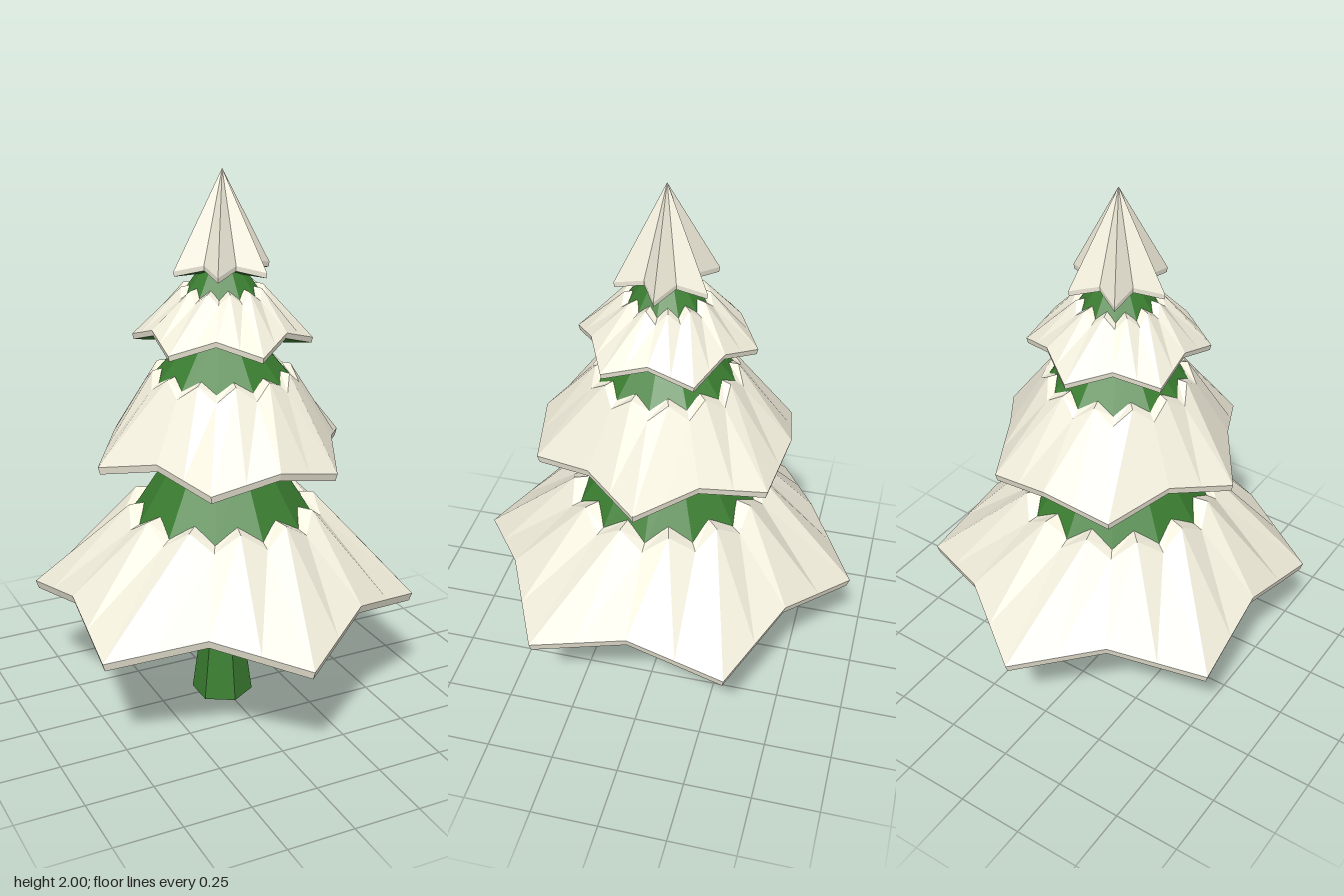
import * as THREE from 'three';

const N = 24;
const snowMat = new THREE.MeshStandardMaterial({ color: 0xf2eedc, flatShading: true });
const greenMat = new THREE.MeshStandardMaterial({ color: 0x3a7d30, flatShading: true });

// Point on a circle, step i of n, starting at +z and turning towards +x
function polar(i, r, y, n = N) {
  const a = (i / n) * Math.PI * 2;
  return new THREE.Vector3(Math.sin(a) * r, y, Math.cos(a) * r);
}

const ringOf = (fn) => Array.from({ length: N }, (_, i) => fn(i));

// Twelve-cornered star edge; midpoints are added so that it has N points
function starRing(odd, tip, valley) {
  const corner = (k) => {
    k = (k + 12) % 12;
    const isTip = k % 2 === (odd ? 1 : 0);
    const r = isTip ? tip[0] : (odd && k % 6 === 0 && valley[2]) || valley[0];
    return polar(k, r, isTip ? tip[1] : valley[1], 12);
  };
  return ringOf((i) => (i % 2 ? corner((i - 1) / 2).lerp(corner((i + 1) / 2), 0.5) : corner(i / 2)));
}

// Collar edge: notch on even steps, peak on odd steps
const zigzag = (notch, peak) => ringOf((i) => polar(i, ...(i % 2 ? peak : notch)));

// Joins successive rings (lower to upper) with faces pointing outwards
function skin(rings) {
  const pos = [];
  const tri = (a, b, c) => {
    if (a.equals(b) || b.equals(c) || a.equals(c)) return;
    for (const p of [a, b, c]) pos.push(p.x, p.y, p.z);
  };
  for (let r = 0; r + 1 < rings.length; r++) {
    const lo = rings[r], hi = rings[r + 1];
    for (let i = 0; i < N; i++) {
      const j = (i + 1) % N;
      tri(lo[i], lo[j], hi[j]);
      tri(lo[i], hi[j], hi[i]);
    }
  }
  const g = new THREE.BufferGeometry();
  g.setAttribute('position', new THREE.Float32BufferAttribute(pos, 3));
  g.computeVertexNormals();
  return g;
}

function add(parent, name, geometry, material) {
  const mesh = new THREE.Mesh(geometry, material);
  mesh.name = name;
  parent.add(mesh);
}

// All pairs are [radius, height]; a valley may hold a third value, its radius on the z axis
const tiers = [
  { name: 'bottomTier', odd: false, tip: [0.715, 0.43], valley: [0.595, 0.52], rim: 0.03, base: 0.397,
    notch: [0.365, 0.735], peak: [0.345, 0.795], inNotch: [0.325, 0.752], inPeak: [0.29, 0.8],
    core: [0.17, 1.0, 0.337, 0.74] },
  { name: 'lowerMiddleTier', odd: true, tip: [0.482, 0.995], valley: [0.395, 1.05, 0.455], rim: 0.027, base: 0.962,
    notch: [0.275, 1.25], peak: [0.25, 1.3], inNotch: [0.245, 1.272], inPeak: [0.215, 1.307],
    core: [0.11, 1.43, 0.26, 1.255] },
  { name: 'upperMiddleTier', odd: false, tip: [0.32, 1.415], valley: [0.268, 1.465], rim: 0.02, base: 1.393,
    notch: [0.16, 1.562], peak: [0.145, 1.597], inNotch: [0.134, 1.575], inPeak: [0.115, 1.602],
    core: [0.07, 1.67, 0.143, 1.565] },
  { name: 'topTier', odd: true, tip: [0.185, 1.662], valley: [0.11, 1.685], rim: 0.018, base: 1.645 },
];

function makeTier(t) {
  const tier = new THREE.Group();
  tier.name = t.name;
  const top = starRing(t.odd, t.tip, t.valley);
  const bottom = top.map((p) => new THREE.Vector3(p.x * 0.985, p.y - t.rim, p.z * 0.985));
  const upper = t.core
    ? [zigzag(t.notch, t.peak), zigzag(t.inNotch, t.inPeak)]
    : [ringOf(() => new THREE.Vector3(0, 2, 0))];
  add(tier, 'snow', skin([bottom, top, ...upper]), snowMat);

  // Folded green underside
  const centre = ringOf(() => new THREE.Vector3(0, t.base, 0));
  add(tier, 'underside', skin([centre, bottom]), greenMat);

  // Green cone showing above the snow collar
  if (t.core) {
    const [r1, y1, r0, y0] = t.core;
    const cone = new THREE.CylinderGeometry(r1, r0, y1 - y0, 12);
    cone.translate(0, (y0 + y1) / 2, 0);
    add(tier, 'foliage', cone, greenMat);
  }
  return tier;
}

export function createModel() {
  const tree = new THREE.Group();
  tree.name = 'snowyTree';

  // Six-sided trunk, waisted in the middle
  const profile = [[0, 0], [0.115, 0], [0.085, 0.22], [0.1, 0.45]].map((p) => new THREE.Vector2(...p));
  add(tree, 'trunk', new THREE.LatheGeometry(profile, 6), greenMat);

  for (const t of tiers) tree.add(makeTier(t));
  return tree;
}
